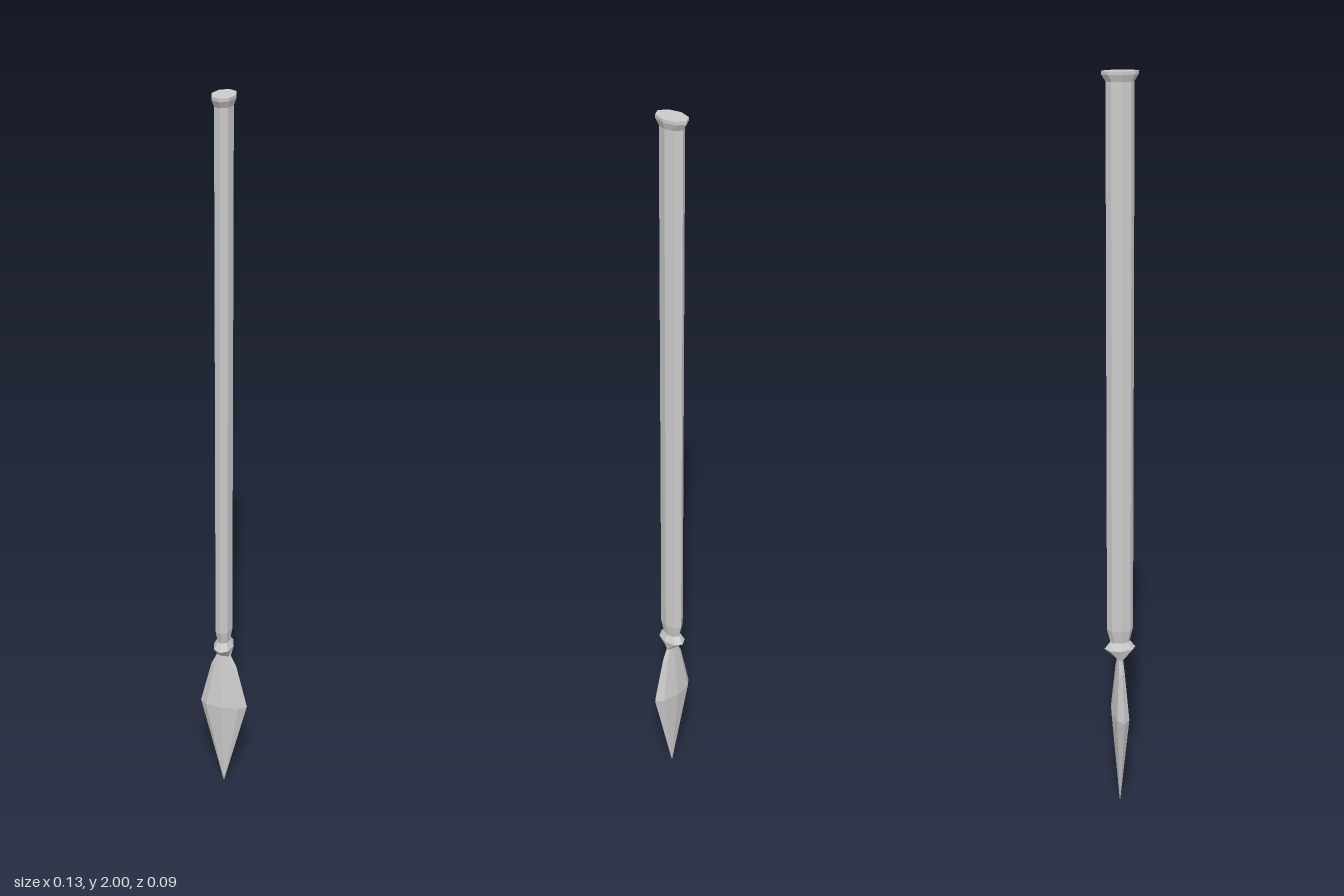
import * as THREE from 'three';

const SIDES = 8;
const material = new THREE.MeshStandardMaterial({ color: 0xcccccc, flatShading: true });

// Lofts eight-sided elliptical rings [y, rx, rz], listed bottom to top, with closed ends.
function loft(name, rings) {
  const positions = [], index = [];
  for (const [y, rx, rz] of rings) {
    for (let i = 0; i < SIDES; i++) {
      const a = (i / SIDES) * Math.PI * 2;
      positions.push(Math.cos(a) * rx, y, Math.sin(a) * rz);
    }
  }
  const top = rings.length * SIDES;
  positions.push(0, rings[0][0], 0, 0, rings[rings.length - 1][0], 0);
  for (let i = 0; i < SIDES; i++) {
    const j = (i + 1) % SIDES;
    for (let r = 0; r < rings.length - 1; r++) {
      const a = r * SIDES + i, b = r * SIDES + j;
      index.push(a, a + SIDES, b, b, a + SIDES, b + SIDES);
    }
    index.push(top, i, j, top + 1, top - SIDES + j, top - SIDES + i);
  }
  const geometry = new THREE.BufferGeometry();
  geometry.setAttribute('position', new THREE.Float32BufferAttribute(positions, 3));
  geometry.setIndex(index);
  geometry.computeVertexNormals();
  const mesh = new THREE.Mesh(geometry, material);
  mesh.name = name;
  return mesh;
}

export function createModel() {
  const group = new THREE.Group();
  group.name = 'spear';
  group.add(
    // Leaf-shaped point, wide in x and thin in z
    loft('blade', [
      [0, 0.001, 0.001],
      [0.27, 0.067, 0.024],
      [0.4, 0.036, 0.012],
      [0.435, 0.02, 0.008],
    ]),
    // Flared ring between blade and shaft
    loft('collar', [
      [0.435, 0.02, 0.008],
      [0.468, 0.028, 0.043],
      [0.488, 0.018, 0.027],
    ]),
    // Oval shaft, tapered in at the neck
    loft('shaft', [
      [0.488, 0.018, 0.027],
      [0.525, 0.024, 0.036],
      [1.975, 0.024, 0.036],
    ]),
    // Flared end of the shaft
    loft('pommel', [
      [1.975, 0.024, 0.036],
      [1.992, 0.03, 0.047],
      [2, 0.03, 0.047],
    ]),
  );
  return group;
}
